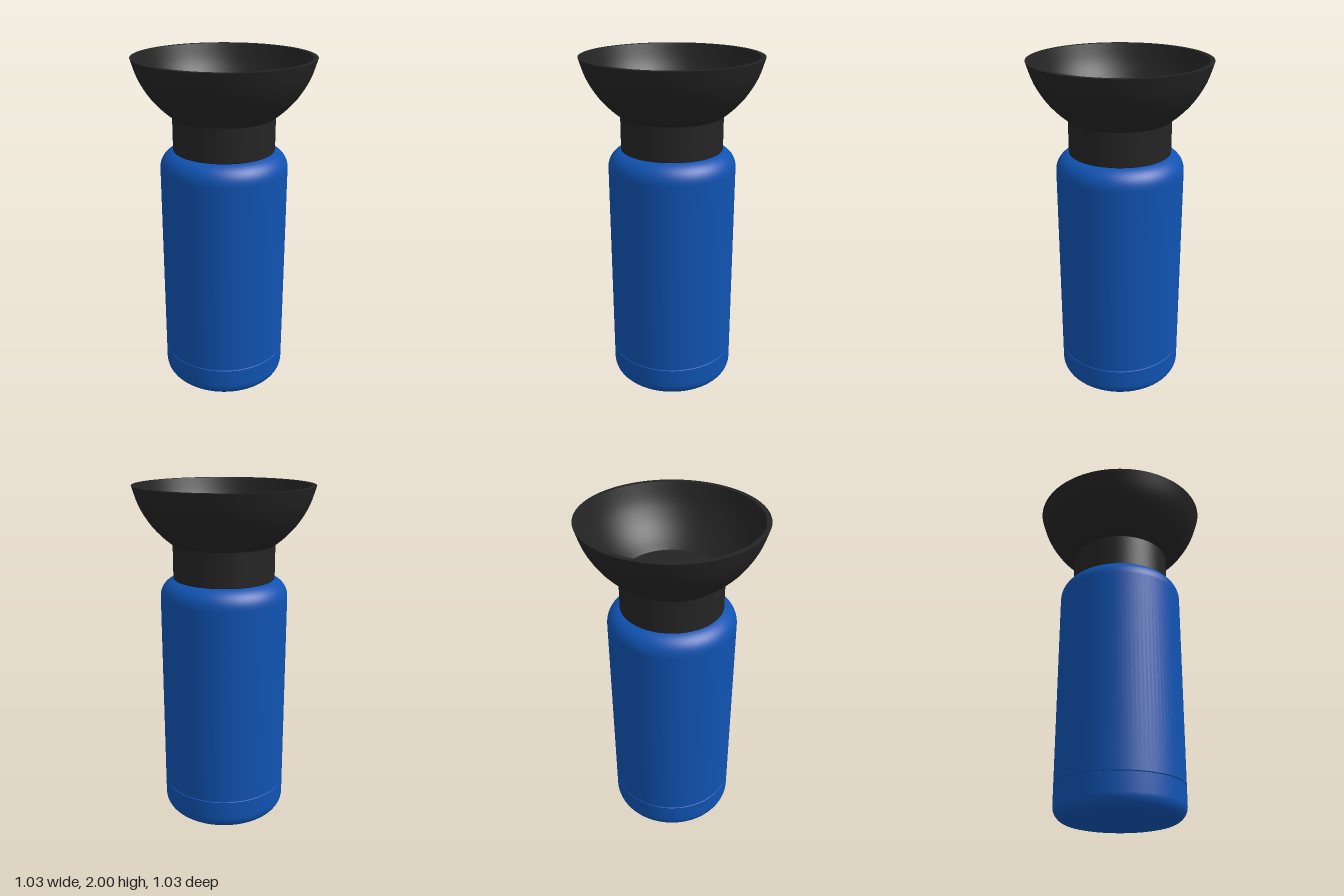
import * as THREE from 'three';

const SEGMENTS = 96;

// Points of a rounded corner, angles in degrees
function corner(cx, cy, r, from, to, steps = 10) {
  const pts = [];
  for (let i = 0; i <= steps; i++) {
    const a = THREE.MathUtils.degToRad(from + (to - from) * i / steps);
    pts.push([cx + r * Math.cos(a), cy + r * Math.sin(a)]);
  }
  return pts;
}

// Smooth curve through a few profile points
function smooth(points, steps = 16) {
  const curve = new THREE.SplineCurve(points.map(([x, y]) => new THREE.Vector2(x, y)));
  return curve.getPoints(steps).map((p) => [p.x, p.y]);
}

// Revolve profile runs, doubling the points where runs meet so those edges stay sharp
function revolve(name, material, ...runs) {
  const pts = runs.flat().map(([x, y]) => new THREE.Vector2(Math.max(x, 0), y));
  const mesh = new THREE.Mesh(new THREE.LatheGeometry(pts, SEGMENTS), material);
  mesh.name = name;
  return mesh;
}

export function createModel() {
  const blue = new THREE.MeshStandardMaterial({ color: 0x1053b2 });
  blue.name = 'blue';
  const black = new THREE.MeshStandardMaterial({ color: 0x242424 });
  black.name = 'black';

  const model = new THREE.Group();
  model.name = 'bottleWithBowl';

  // Base cap with rounded bottom edge, ending at the seam
  model.add(revolve('baseCap', blue,
    [[0, 0], [0.285, 0]],
    corner(0.285, 0.085, 0.085, -90, 0),
    [[0.37, 0.191]],
    [[0.37, 0.191], [0.364, 0.194]],
    [[0.364, 0.194], [0, 0.194]]));

  // Main body with rounded shoulder
  model.add(revolve('body', blue,
    [[0, 0.194], [0.364, 0.194]],
    [[0.364, 0.194], [0.37, 0.197]],
    [[0.37, 0.197], [0.37, 1.37]],
    corner(0.265, 1.37, 0.105, 0, 90),
    [[0, 1.475]]));

  // Neck collar
  model.add(revolve('neck', black,
    [[0.29, 1.472], [0.294, 1.476]],
    [[0.294, 1.476], [0.294, 1.67]]));

  // Flared bowl: outer wall, rim, inner wall, flat floor
  model.add(revolve('bowl', black,
    smooth([[0.294, 1.67], [0.352, 1.718], [0.418, 1.79], [0.478, 1.89], [0.515, 2]]),
    [[0.515, 2], [0.488, 2]],
    smooth([[0.488, 2], [0.452, 1.895], [0.395, 1.8], [0.33, 1.73], [0.265, 1.68]]),
    [[0.265, 1.68], [0, 1.68]]));

  return model;
}
